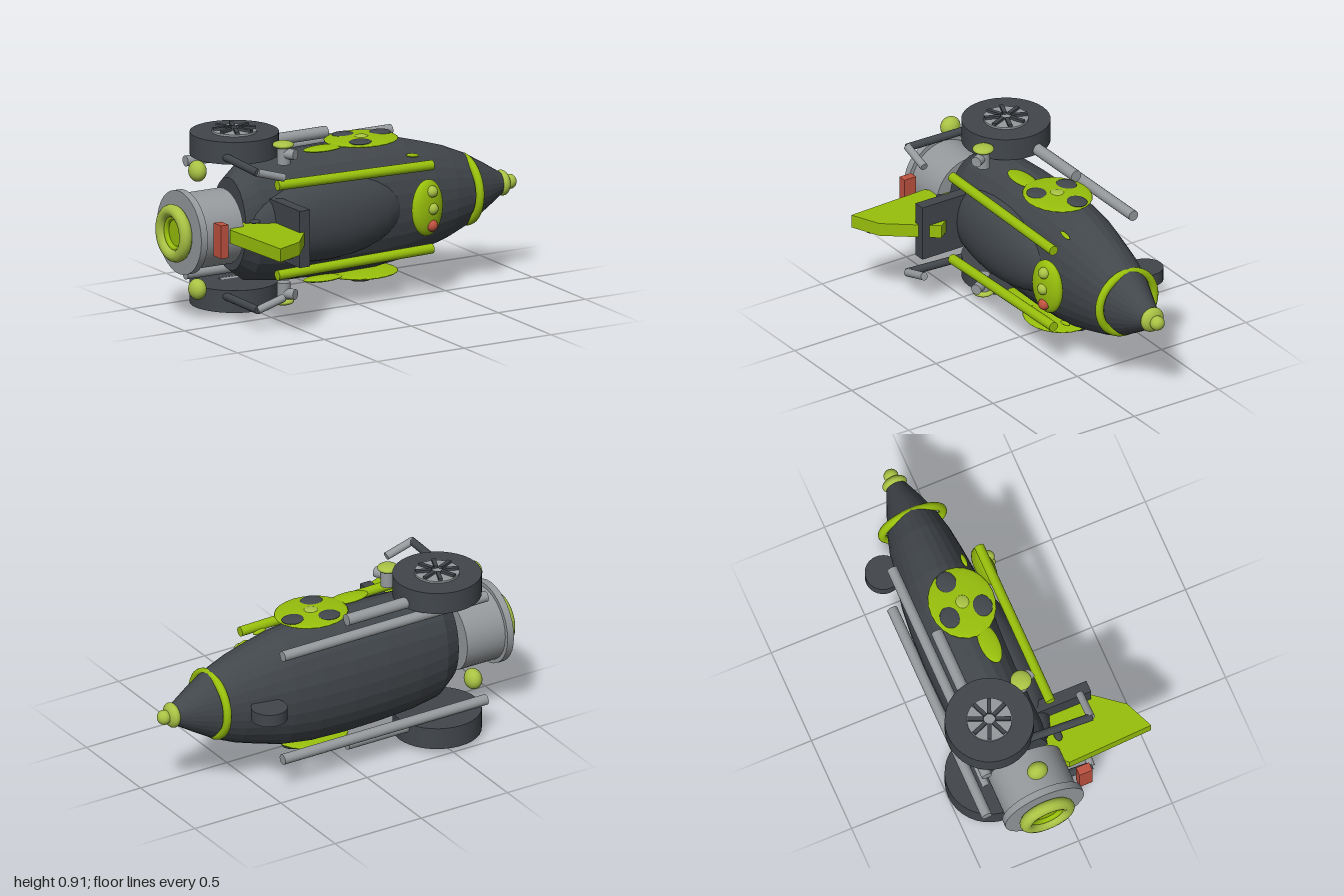
import * as THREE from 'three';

const C = 0.456; // height of the long axis; parts mirror above and below it

export function createModel() {
  const root = new THREE.Group();
  root.name = 'rocketRacer';
  const mat = (name, color) => {
    const m = new THREE.MeshStandardMaterial({ color });
    m.name = name;
    return m;
  };
  const dark = mat('charcoal', 0x42474c);
  const green = mat('limeGreen', 0x98c00c);
  const pale = mat('paleGreen', 0xa9c244);
  const grey = mat('steelGrey', 0x969a9d);
  const red = mat('signalRed', 0xbf5240);

  const add = (name, geo, m, x = 0, y = 0, z = 0) => {
    const mesh = new THREE.Mesh(geo, m);
    mesh.name = name;
    mesh.position.set(x, y, z);
    root.add(mesh);
    return mesh;
  };
  const flat = (geo) => {
    const g = geo.toNonIndexed();
    g.computeVertexNormals();
    return g;
  };
  const ball = (name, m, x, y, z, rx, ry = rx, rz = rx) =>
    add(name, new THREE.SphereGeometry(1, 24, 16).scale(rx, ry, rz), m, x, y, z);
  const box = (name, m, x, y, z, w, h, d) => add(name, new THREE.BoxGeometry(w, h, d), m, x, y, z);
  const rod = (name, m, a, b, r, n = 16) => {
    const p = new THREE.Vector3(...a), q = new THREE.Vector3(...b), d = q.clone().sub(p);
    const mesh = add(name, new THREE.CylinderGeometry(r, r, d.length(), n), m);
    mesh.position.copy(p).add(q).multiplyScalar(0.5);
    mesh.quaternion.setFromUnitVectors(new THREE.Vector3(0, 1, 0), d.normalize());
    return mesh;
  };

  // Hull: elliptical sections [x, half height, half depth, centre z]
  const sections = [
    [-0.64, 0.001, 0.001, -0.165], [-0.64, 0.235, 0.16, -0.17], [-0.555, 0.298, 0.19, -0.18],
    [-0.4, 0.32, 0.205, -0.185], [-0.2, 0.33, 0.213, -0.187], [0, 0.333, 0.215, -0.187],
    [0.18, 0.328, 0.21, -0.185], [0.33, 0.308, 0.199, -0.18], [0.46, 0.272, 0.181, -0.173],
    [0.58, 0.235, 0.162, -0.168], [0.7, 0.183, 0.132, -0.163], [0.81, 0.118, 0.09, -0.16],
    [0.92, 0.048, 0.045, -0.16],
  ];
  const n = 28, pos = [], idx = [];
  sections.forEach(([x, ry, rz, cz], i) => {
    for (let j = 0; j < n; j++) {
      const t = (j / n) * Math.PI * 2;
      pos.push(x, C + ry * Math.cos(t), cz + rz * Math.sin(t));
      if (i === 0) continue;
      const k = (j + 1) % n, a = (i - 1) * n + j, b = (i - 1) * n + k, c = i * n + j, d = i * n + k;
      idx.push(a, b, c, b, d, c);
    }
  });
  const hull = new THREE.BufferGeometry();
  hull.setAttribute('position', new THREE.Float32BufferAttribute(pos, 3));
  hull.setIndex(idx);
  add('hull', flat(hull), dark);
  ball('canopy', dark, -0.18, C, -0.03, 0.45, 0.21, 0.13);

  // Nose: stepped tip and a round band half sunk in the hull
  ball('noseBall', pale, 0.92, C, -0.16, 0.035, 0.064, 0.064);
  ball('noseTip', pale, 0.965, C, -0.16, 0.035, 0.037, 0.037);
  add('noseBand', new THREE.TorusGeometry(0.162, 0.021, 12, 48).rotateY(Math.PI / 2), green, 0.698, C, -0.16);

  // Engine at the rear
  const Z = -0.155;
  rod('engineBarrel', grey, [-0.905, C, Z], [-0.68, C, Z], 0.19, 32);
  rod('engineFlange', grey, [-0.937, C, Z], [-0.9, C, Z], 0.211, 32);
  rod('nozzleDisc', green, [-0.955, C, Z], [-0.93, C, Z], 0.11, 32);
  add('nozzleRing', new THREE.TorusGeometry(0.113, 0.032, 12, 40).rotateY(Math.PI / 2), pale, -0.968, C, Z);
  add('nozzleInnerRing', new THREE.TorusGeometry(0.08, 0.015, 10, 32).rotateY(Math.PI / 2), green, -0.96, C, Z);

  // Tail fin, its mounting plate and brake light
  const outline = [[-0.77, 0.05], [-0.75, 0.495], [-0.6, 0.43], [-0.41, 0.19], [-0.52, 0.04], [-0.66, -0.07]];
  const fin = new THREE.ExtrudeGeometry(
    new THREE.Shape(outline.map(([x, z]) => new THREE.Vector2(x, -z))),
    { depth: 0.068, bevelEnabled: false });
  add('tailFin', fin.rotateX(-Math.PI / 2), green, 0, C - 0.034 + 0.003, 0);
  for (const [x, z] of [[-0.67, 0.42], [-0.64, 0.31]]) {
    ball('finSpot', dark, x, 0.424, z, 0.035, 0.008, 0.04);
  }
  ball('finSpotUpper', dark, -0.625, 0.515, 0.05, 0.03, 0.01, 0.02);
  box('finPlate', dark, -0.477, 0.458, 0.134, 0.06, 0.288, 0.288);
  box('brakeLight', red, -0.847, 0.46, 0.095, 0.044, 0.168, 0.07);

  // Front signal panel with three lamps
  const panel = ball('signalPanel', green, 0.35, C + 0.003, 0.075, 0.098, 0.143, 0.042);
  panel.rotation.y = 0.2;
  [0.545, 0.459, 0.373].forEach((y, i) =>
    ball('signalLamp', i === 2 ? red : pale, 0.36, y, i === 1 ? 0.107 : 0.102, 0.03));

  // Small guide wheel under the nose
  rod('guideWheel', dark, [0.505, 0.427, -0.4], [0.505, 0.492, -0.4], 0.09, 28);

  // Everything mirrored on both sides of the hull
  for (const s of [1, -1]) {
    const Y = (off) => C + s * off;

    rod('sideRail', green, [-0.505, Y(0.228), 0.062], [0.385, Y(0.212), 0.062], 0.025);
    rod('longExhaust', grey, [-0.76, Y(0.287), -0.388], [0.42, Y(0.287), -0.388], 0.027);
    rod('shortExhaust', grey, [-0.6, Y(0.345), -0.325], [0.01, Y(0.345), -0.325], 0.03);

    // Rear wheel with spoked hub
    rod('tire', dark, [-0.543, Y(0.32), -0.282], [-0.543, Y(0.433), -0.282], 0.22, 36);
    rod('hubDisc', grey, [-0.543, Y(0.42), -0.282], [-0.543, Y(0.443), -0.282], 0.112, 28);
    for (let i = 0; i < 8; i++) {
      const t = ((i + 0.5) / 8) * Math.PI * 2;
      const spoke = box('spoke', dark, -0.543 + 0.067 * Math.cos(t), Y(0.446), -0.282 - 0.067 * Math.sin(t), 0.08, 0.02, 0.02);
      spoke.rotation.y = t;
    }

    // Handlebar
    rod('handleArm', dark, [-0.675, Y(0.355), -0.28], [-0.698, Y(0.348), 0.2], 0.02);
    rod('handleGrip', grey, [-0.7, Y(0.35), 0.195], [-0.55, Y(0.305), 0.198], 0.02);

    // Marker lamps
    rod('lampStem', grey, [-0.4, Y(0.3), -0.05], [-0.4, Y(0.39), -0.05], 0.034);
    rod('lampBracket', grey, [-0.41, Y(0.355), -0.06], [-0.37, Y(0.355), 0.012], 0.027);
    ball('markerLamp', pale, -0.402, Y(0.397), -0.052, 0.053, 0.019, 0.053);
    ball('rearLamp', pale, -0.835, Y(0.3), -0.15, 0.043, 0.053, 0.053);

    // Round side cover with three dark ports
    ball('sideCover', green, 0.105, Y(0.336), -0.15, 0.19, 0.016, 0.165);
    ball('sideCoverTail', green, -0.14, Y(0.33), -0.108, 0.11, 0.014, 0.05);
    for (const [x, z] of [[0.055, -0.235], [0.23, -0.18], [0.05, -0.065]]) {
      ball('coverPort', dark, x, Y(0.346), z, 0.058, 0.012, 0.05);
    }
    ball('coverBoss', pale, 0.105, Y(0.35), -0.148, 0.035, 0.009, 0.033);
    const sliver = ball('sideTrim', green, 0.335, Y(0.245), -0.04, 0.038, 0.01, 0.012);
    sliver.rotation.z = -0.15 * s;
  }
  return root;
}
